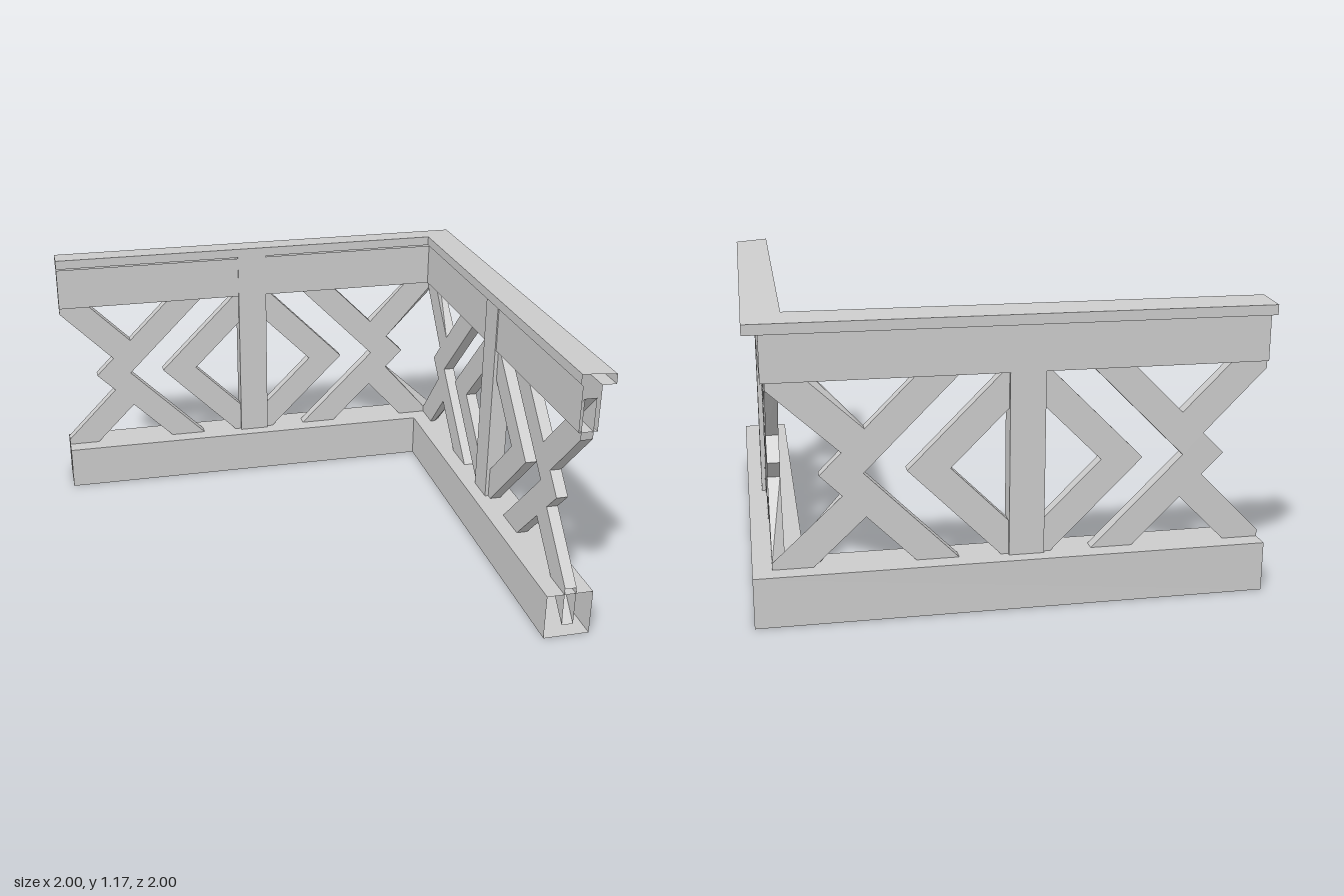
import * as THREE from 'three';

const MID_Y = 0.562;      // height of the lattice's mirror line
const MID_S = -0.05;      // post centre, the lattice mirrors left/right about it
const LINE = 0.9;         // distance of each wing's centre plane from the middle
const material = new THREE.MeshStandardMaterial({
  color: 0xcccccc, flatShading: true, side: THREE.DoubleSide,
});

// Sweep a (distance outward, height) profile round the mitred corner, ends open.
function cornerSweep(name, profile) {
  const stations = [
    ([d, y]) => [-1, y, -d],
    ([d, y]) => [d, y, -d],
    ([d, y]) => [d, y, 1],
  ];
  const pos = [];
  for (let i = 0; i < 2; i++) {
    for (let j = 0; j < profile.length - 1; j++) {
      const a = stations[i](profile[j]), b = stations[i](profile[j + 1]);
      const c = stations[i + 1](profile[j + 1]), e = stations[i + 1](profile[j]);
      pos.push(...a, ...b, ...c, ...a, ...c, ...e);
    }
  }
  const geo = new THREE.BufferGeometry();
  geo.setAttribute('position', new THREE.Float32BufferAttribute(pos, 3));
  geo.computeVertexNormals();
  const mesh = new THREE.Mesh(geo, material);
  mesh.name = name;
  return mesh;
}

// Upper half outlines of the lattice pieces, heights measured from MID_Y.
const crossHalf = [
  [-0.84, 0], [-0.755, 0.085], [-1, 0.335], [-1, 0.508], [-0.667, 0.173],
  [-0.46, 0.38], [-0.294, 0.38], [-0.674, 0],
];
const chevronHalf = [
  [-0.51, 0], [-0.13, 0.38], [MID_S, 0.38], [MID_S, 0.294], [-0.344, 0],
];

// Extrude a half outline mirrored in height; mitre tilts the end at the corner.
function latticePiece(name, half, mirrored, mitre) {
  const side = half.map(([s, y]) => [mirrored ? 2 * MID_S - s : s, y]);
  const lower = side.slice(1, -1).reverse().map(([s, y]) => [s, -y]);
  const shape = new THREE.Shape([...side, ...lower].map(([s, y]) => new THREE.Vector2(s, y + MID_Y)));
  const raw = new THREE.ExtrudeGeometry(shape, { depth: 0.05, bevelEnabled: false });
  raw.translate(0, 0, -0.025);
  const p = raw.attributes.position, pos = [];
  const isEnd = (i) => p.getX(i) < -0.999 || p.getX(i) > LINE - 0.001;
  for (let t = 0; t < p.count; t += 3) {
    const ids = [t, t + 1, t + 2];
    if (ids.every(isEnd)) continue; // cut ends stay open
    for (const i of ids) {
      const x = p.getX(i), z = p.getZ(i);
      pos.push(x > LINE - 0.001 ? LINE + mitre * z : x, p.getY(i), z);
    }
  }
  const geo = new THREE.BufferGeometry();
  geo.setAttribute('position', new THREE.Float32BufferAttribute(pos, 3));
  geo.computeVertexNormals();
  const mesh = new THREE.Mesh(geo, material);
  mesh.name = name;
  return mesh;
}

// Post and lattice of one wing, laid along x about its centre plane.
function wing(name, mitre) {
  const group = new THREE.Group();
  group.name = name;
  const post = new THREE.Mesh(new THREE.BoxGeometry(0.138, 1.05, 0.082), material);
  post.name = 'post';
  post.position.set(MID_S, 0.615, 0);
  group.add(post);
  for (const mirrored of [false, true]) {
    group.add(latticePiece('latticeCross', crossHalf, mirrored, mitre));
    group.add(latticePiece('latticeChevron', chevronHalf, mirrored, mitre));
  }
  return group;
}

export function createModel() {
  const model = new THREE.Group();
  model.name = 'cornerRailing';

  // Hollow base beam, trough-shaped rail and sloping cap
  model.add(cornerSweep('baseBeam', [[0.8, 0], [1, 0], [1, 0.2], [0.8, 0.2], [0.8, 0]]));
  model.add(cornerSweep('rail', [[0.864, 1.122], [0.864, 0.928], [0.942, 0.928], [0.942, 1.12]]));
  model.add(cornerSweep('railCap', [[0.942, 1.12], [1, 1.12], [1, 1.16], [0.855, 1.172], [0.855, 1.13]]));

  const backWing = wing('backWing', -1);
  backWing.position.z = -LINE;
  const leftWing = wing('leftWing', 1);
  leftWing.rotation.y = Math.PI / 2;
  leftWing.position.x = LINE;
  model.add(backWing, leftWing);
  return model;
}
